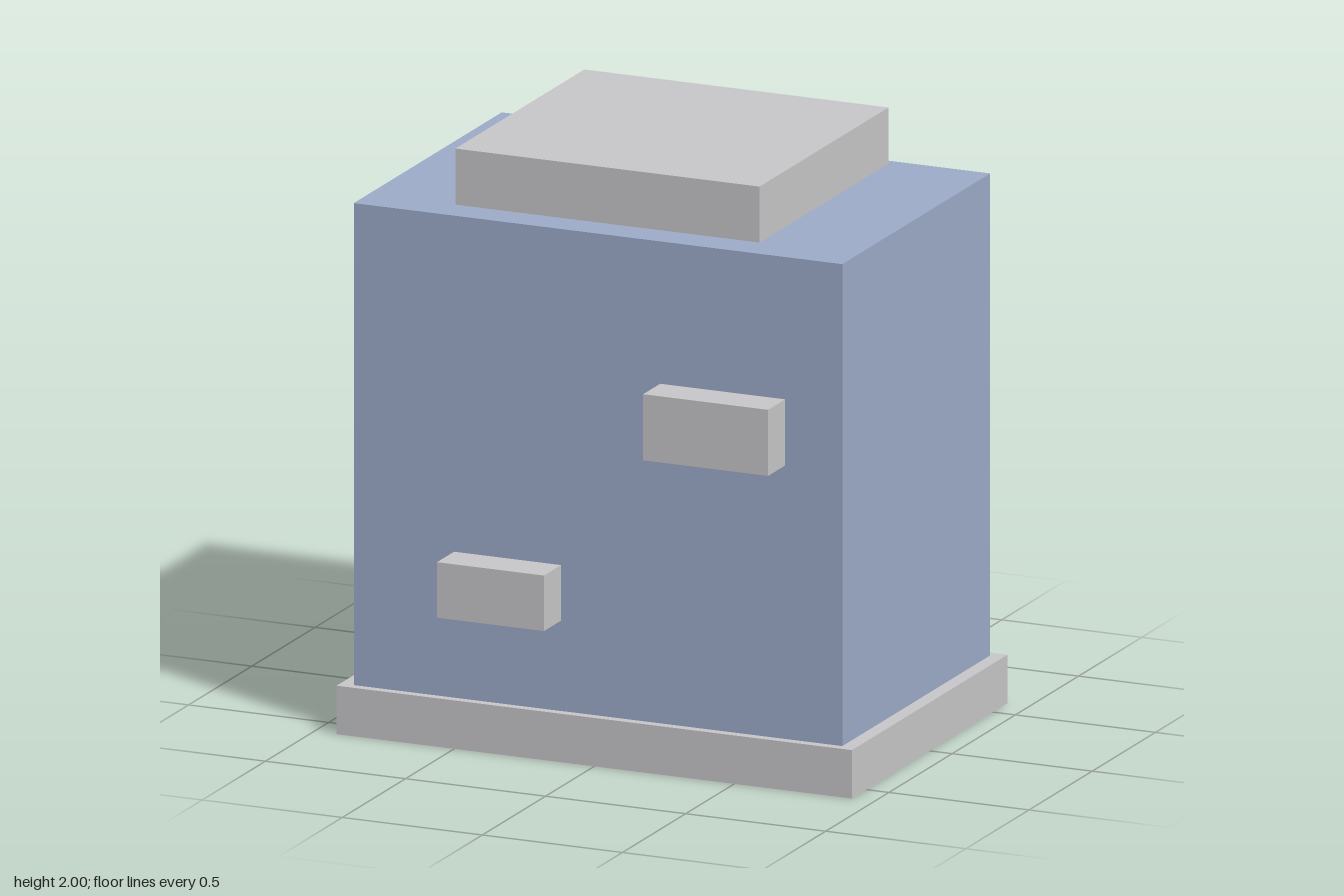
import * as THREE from 'three';

export function createModel() {
  const group = new THREE.Group();
  const mat = (name, color) => {
    const m = new THREE.MeshStandardMaterial({ color });
    m.name = name;
    return m;
  };
  const grey = mat('light grey', 0xc8c8ca);
  const blue = mat('soft blue', 0x9eacca);
  const gold = mat('dull gold', 0xc9bd7b);

  // Box given by its extents on each axis
  const box = (name, material, [x0, x1], [y0, y1], [z0, z1]) => {
    const mesh = new THREE.Mesh(new THREE.BoxGeometry(x1 - x0, y1 - y0, z1 - z0), material);
    mesh.position.set((x0 + x1) / 2, (y0 + y1) / 2, (z0 + z1) / 2);
    mesh.name = name;
    group.add(mesh);
  };

  // Base, main block and the roof slab hovering just above it
  box('base', grey, [-0.92, 0.92], [0, 0.164], [-0.615, 0.615]);
  box('body', blue, [-0.872, 0.872], [0.164, 1.796], [-0.585, 0.585]);
  box('roofSlab', grey, [-0.543, 0.543], [1.81, 2], [-0.51, 0.51]);

  // Ledges on the front wall
  box('frontLedgeUpper', grey, [0.222, 0.668], [1.09, 1.314], [0.585, 0.72]);
  box('frontLedgeLower', grey, [-0.514, -0.132], [0.47, 0.658], [0.585, 0.72]);

  // Ledges on the back wall
  box('backLedgeUpper', grey, [-0.672, -0.226], [1.17, 1.427], [-0.72, -0.585]);
  box('backLedgeMiddle', grey, [0.19, 0.57], [0.66, 0.785], [-0.703, -0.585]);
  box('backLedgeLower', grey, [-0.608, -0.163], [0.26, 0.418], [-0.703, -0.585]);

  // Small lamps on the back wall
  box('lampUpper', gold, [0.388, 0.5], [1.466, 1.58], [-0.688, -0.594]);
  box('lampLower', gold, [-0.218, -0.108], [0.925, 1.034], [-0.688, -0.594]);

  return group;
}
